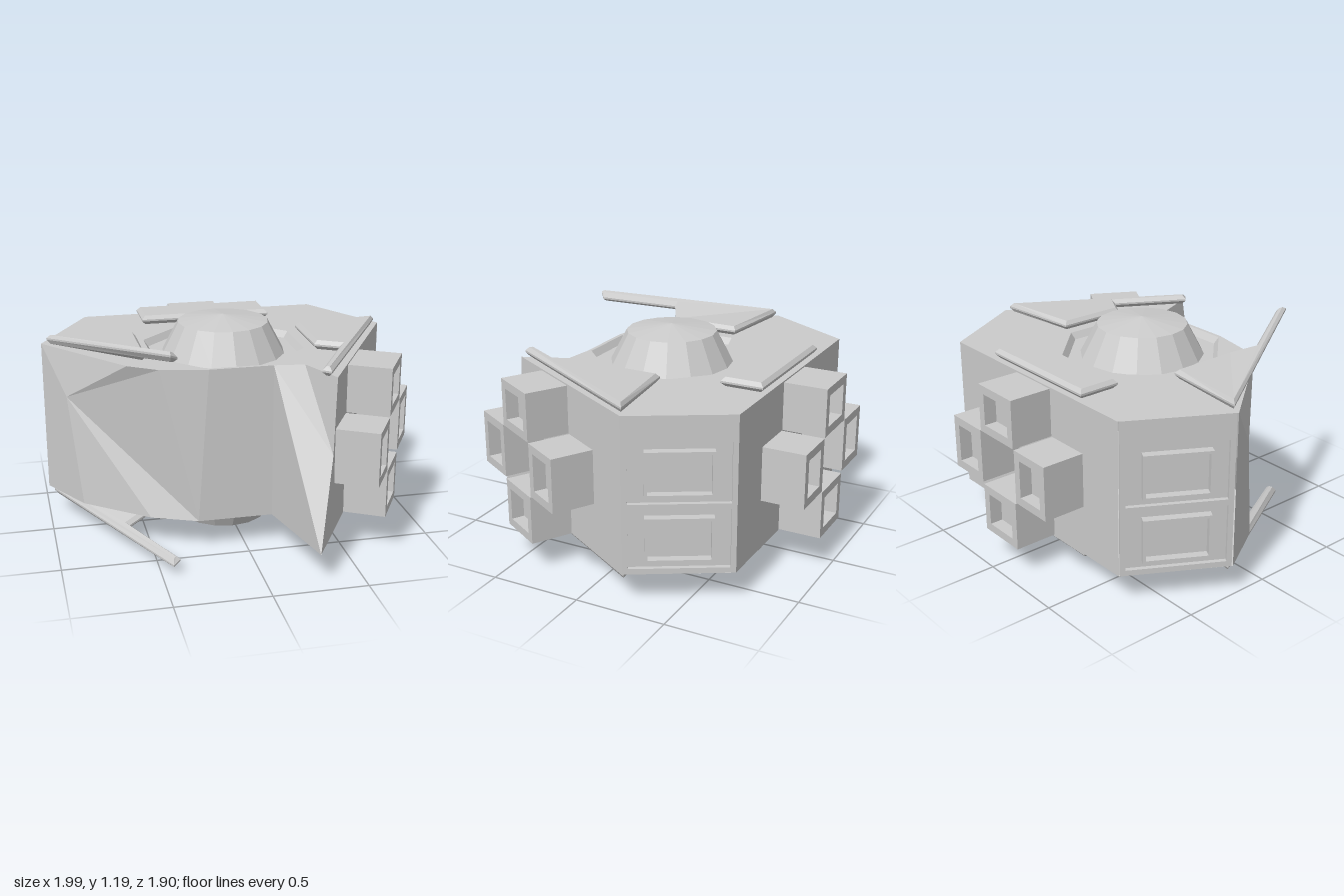
import * as THREE from 'three';

const TOP = 1.02, BOTTOM = 0.18, CX = -0.035;
const metal = new THREE.MeshStandardMaterial({ color: 0xcccccc, flatShading: true, side: THREE.DoubleSide });

function add(parent, name, geometry, x = 0, y = 0, z = 0) {
  const mesh = new THREE.Mesh(geometry, metal);
  mesh.name = name;
  mesh.position.set(x, y, z);
  parent.add(mesh);
  return mesh;
}

const toShape = pts => new THREE.Shape(pts.map(p => new THREE.Vector2(p[0], p[1])));

function rectPoints(x, y, w, h) {
  return [[x - w / 2, y - h / 2], [x + w / 2, y - h / 2], [x + w / 2, y + h / 2], [x - w / 2, y + h / 2]];
}

// Rectangular sheet with rectangular openings, extruded along z
function pierced(rect, holes, depth) {
  const shape = toShape(rectPoints(...rect));
  holes.forEach(h => shape.holes.push(toShape(rectPoints(...h))));
  return new THREE.ExtrudeGeometry(shape, { depth, bevelEnabled: false });
}

// Skin made of polygons, each drawn as a fan
function skin(polygons) {
  const pos = [];
  for (const p of polygons)
    for (let i = 1; i < p.length - 1; i++) pos.push(...p[0], ...p[i], ...p[i + 1]);
  const g = new THREE.BufferGeometry();
  g.setAttribute('position', new THREE.Float32BufferAttribute(pos, 3));
  g.computeVertexNormals();
  return g;
}

// Flat hull cap with an octagonal opening
const OCT = 0.41 / Math.cos(Math.PI / 8);
function cap(points) {
  const shape = toShape(points.map(p => [p[0], p[2]]));
  const oct = [];
  for (let i = 0; i < 8; i++) {
    const a = Math.PI / 8 + i * Math.PI / 4;
    oct.push([CX + OCT * Math.sin(a), OCT * Math.cos(a)]);
  }
  shape.holes.push(toShape(oct));
  return new THREE.ShapeGeometry(shape).rotateX(Math.PI / 2);
}

// Thin bevelled plate lying flat, centred on y = 0.025
function plate(points) {
  const g = new THREE.ExtrudeGeometry(toShape(points), {
    depth: 0.01, bevelThickness: 0.02, bevelSize: 0.018, bevelOffset: -0.018, bevelSegments: 1,
  });
  return g.rotateX(Math.PI / 2).translate(0, 0.03, 0);
}

// Dome, octagonal well and armour plates of one cap, built upwards from y = 0
function capDetails(lift) {
  const group = new THREE.Group();
  const v = (x, y) => new THREE.Vector2(x, y);
  add(group, 'dome', new THREE.LatheGeometry([v(0.335, -0.035), v(0.245, 0.135), v(0, 0.17)], 16), CX);
  add(group, 'octagonalWell', new THREE.LatheGeometry(
    [v(0, -0.035), v(OCT * 0.94, -0.035), v(OCT, 0)], 8, Math.PI / 8), CX);
  add(group, 'backPlate', plate(rectPoints(CX, -0.585, 0.74, 0.23)));

  const outline = [[0.9, -0.22], [0.42, -0.17], [0.42, 0.21], [0.54, 0.28], [0.33, 0.65], [0.37, 0.685]];
  add(group, 'leftPlate', plate(outline));

  // The other side plate is bent away from the hull along a diagonal hinge
  const bent = plate(outline.map(([x, z]) => [2 * CX - x, z]));
  const p = bent.attributes.position;
  for (let i = 0; i < p.count; i++) {
    const d = (0.47 * (p.getZ(i) + 0.22) - 0.42 * (p.getX(i) + 0.97)) / 0.63;
    p.setY(i, p.getY(i) + lift * Math.max(0, d) / 0.3);
  }
  bent.computeVertexNormals();
  add(group, 'bentRightPlate', bent);
  return group;
}

// Cross of four hollow-faced blocks, facing local +z
function blockCluster() {
  const group = new THREE.Group();
  const depth = 0.235, sink = 0.07;
  const blocks = [
    [-0.275, 0.603, 0.25, 0.295], [0.275, 0.603, 0.25, 0.295],
    [0, 0.882, 0.285, 0.26], [0, 0.313, 0.285, 0.265],
  ];
  for (const [x, y, w, h] of blocks) {
    add(group, 'blockBase', new THREE.BoxGeometry(w, h, depth - sink), x, y, (depth - sink) / 2);
    add(group, 'blockRim', pierced([x, y, w, h], [[x, y, w - 0.085, h - 0.09]], sink), 0, 0, depth - sink);
  }
  return group;
}

// Corner wall with two sunken panes, each with a framed window, facing local +z
function paneledWall() {
  const group = new THREE.Group();
  const rows = [0.72, 0.37], width = 0.565;
  add(group, 'paneSurround', pierced([0, 0.6, width, TOP - BOTTOM], rows.map(y => [0, y, 0.51, 0.32]), 0.025), 0, 0, -0.025);
  add(group, 'paneFloor', new THREE.PlaneGeometry(width, TOP - BOTTOM), 0, 0.6, -0.024);
  for (const y of rows)
    add(group, 'windowFrame', pierced([0, y, 0.345, 0.24], [[0, y, 0.315, 0.21]], 0.044), 0, 0, -0.024);
  return group;
}

function place(parent, child, name, x, z, degrees) {
  child.name = name;
  child.position.set(x, 0, z);
  child.rotation.y = THREE.MathUtils.degToRad(degrees);
  parent.add(child);
}

export function createModel() {
  const model = new THREE.Group();
  const t = (x, z) => [x, TOP, z], b = (x, z) => [x, BOTTOM, z];

  // Hull corners: back, sides, then the torn front
  const tBackR = t(-0.71, -0.72), tBackL = t(0.65, -0.72), tLeft = t(0.93, -0.23), tRight = t(-1, -0.22);
  const bBackR = b(-0.71, -0.72), bBackL = b(0.65, -0.72), bLeft = b(0.93, -0.23), bRight = b(-1, -0.22);
  const t1 = t(0.4, 0.69), t2 = t(0.3, 0.45), t3 = t(0.14, 0.43), t4 = t(-0.2, 0.43), t5 = t(-0.45, 0.38), t6 = t(-0.6, 0.28);
  const b1 = b(0.26, 0.945), b2 = b(0.14, 0.43), b3 = b(-0.26, 0.43), b4 = b(-0.5, 0.33), b5 = b(-0.83, 0.07);
  const notch = [0.375, 0.62, 0.735], dent = [-0.89, 0.77, -0.03];

  add(model, 'topCap', cap([tBackR, tBackL, tLeft, t1, t2, t3, t4, t5, t6, tRight]), 0, TOP);
  add(model, 'bottomCap', cap([bBackR, bBackL, bLeft, b1, b2, b3, b4, b5, bRight]), 0, BOTTOM);
  add(model, 'hullWalls', skin([
    [tBackR, tBackL, bBackL, bBackR],
    [bLeft, tLeft, t1, notch, b1],
    [bRight, b5, dent, tRight],
  ]));
  add(model, 'tornFront', skin([
    [t2, notch, t1], [t3, notch, t2], [t3, b1, notch], [t3, b2, b1],
    [t4, b3, b2, t3], [t5, b3, t4],
    [dent, b3, t5], [dent, b4, b3], [dent, b5, b4], [dent, t5, t6], [dent, t6, tRight],
  ]));

  place(model, paneledWall(), 'leftCornerWall', 0.79, -0.475, 120);
  place(model, paneledWall(), 'rightCornerWall', -0.855, -0.47, 240);
  place(model, blockCluster(), 'leftBlocks', 0.59, 0.355, 60);
  place(model, blockCluster(), 'backBlocks', CX, -0.72, 180);

  const upper = capDetails(0.13);
  upper.name = 'upperDetails';
  upper.position.y = TOP;
  const lower = capDetails(0.085);
  lower.name = 'lowerDetails';
  lower.position.y = BOTTOM;
  lower.scale.y = -1;
  model.add(upper, lower);
  return model;
}
